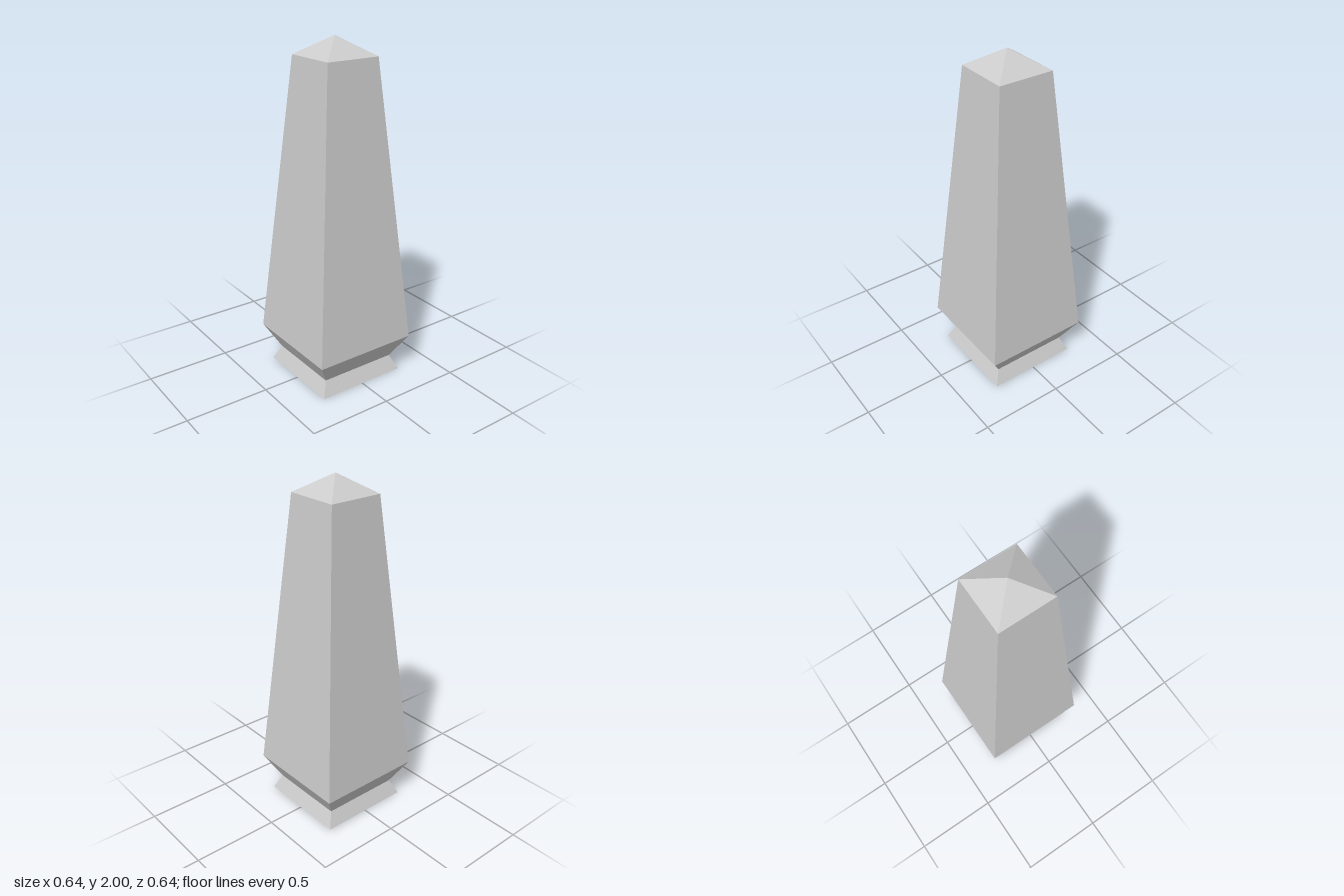
import * as THREE from 'three';

export function createModel() {
  const group = new THREE.Group();
  group.name = 'obelisk';
  const material = new THREE.MeshStandardMaterial({ color: 0xcccccc, flatShading: true });

  // Square tapered section between two heights, given half-widths
  function section(name, y0, half0, y1, half1, open = true) {
    const geometry = new THREE.CylinderGeometry(
      half1 * Math.SQRT2, half0 * Math.SQRT2, y1 - y0, 4, 1, open);
    geometry.rotateY(Math.PI / 4);
    geometry.translate(0, (y0 + y1) / 2, 0);
    const mesh = new THREE.Mesh(geometry, material);
    mesh.name = name;
    group.add(mesh);
  }

  // Flared foot, closed underneath
  section('foot', 0, 0.277, 0.087, 0.235, false);
  // Outward-sloping collar
  section('collar', 0.087, 0.235, 0.232, 0.318);
  // Long tapering shaft
  section('shaft', 0.232, 0.318, 1.893, 0.165);
  // Pyramid cap
  section('cap', 1.893, 0.165, 2, 0);

  return group;
}
